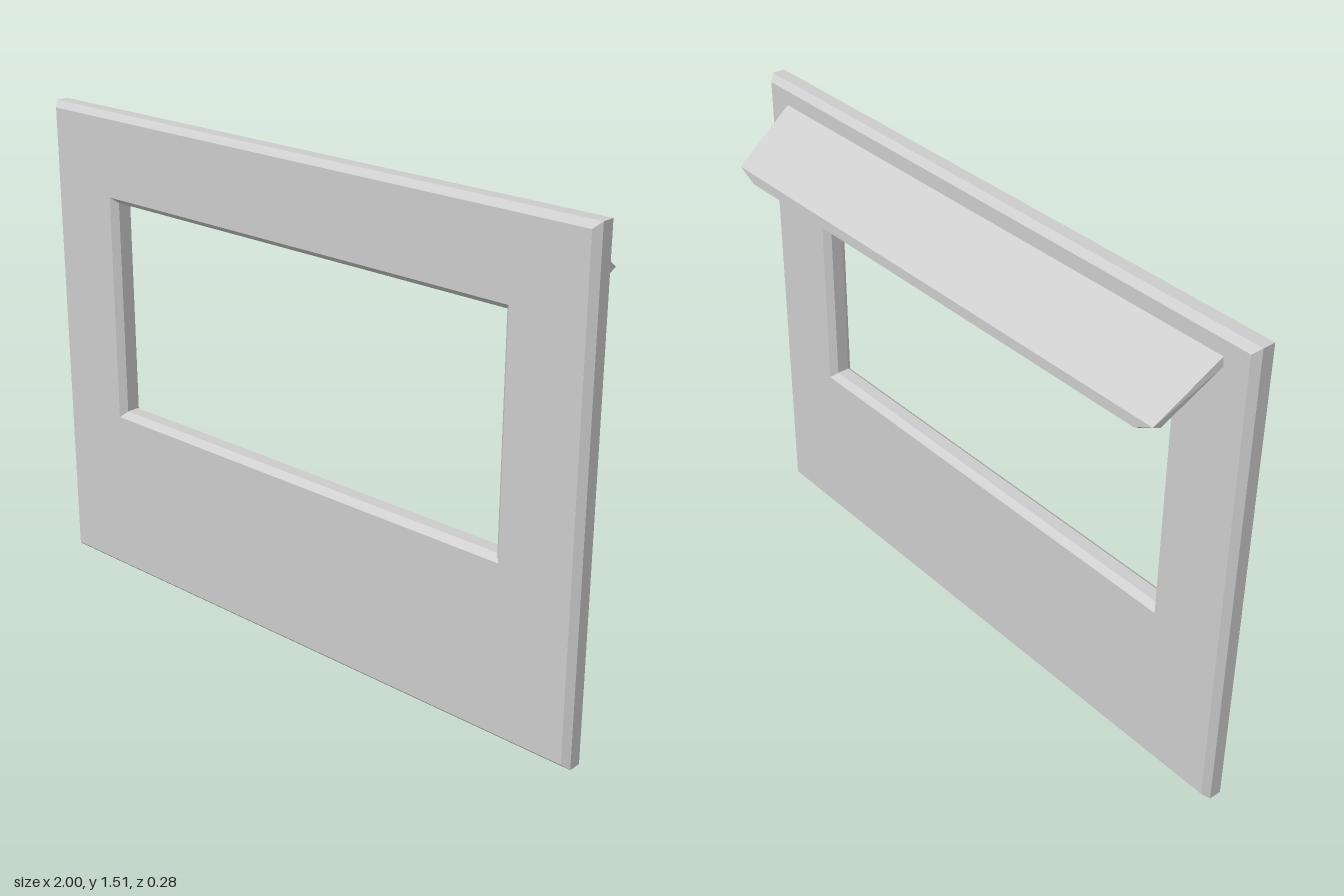
import * as THREE from 'three';
import { ConvexGeometry } from 'three/addons/geometries/ConvexGeometry.js';

const BEVEL = 0.018;

// Traces a rectangle into a Shape or Path
function rectangle(path, halfWidth, bottom, top) {
  path.moveTo(-halfWidth, bottom);
  path.lineTo(halfWidth, bottom);
  path.lineTo(halfWidth, top);
  path.lineTo(-halfWidth, top);
  path.closePath();
  return path;
}

export function createModel() {
  const group = new THREE.Group();
  group.name = 'wallWithAwning';
  const material = new THREE.MeshStandardMaterial({ color: 0xcccccc, flatShading: true });

  const add = (name, geometry) => {
    const mesh = new THREE.Mesh(geometry, material);
    mesh.name = name;
    group.add(mesh);
    return mesh;
  };

  // Upright slab with a window opening, all edges chamfered
  const outline = rectangle(new THREE.Shape(), 1 - BEVEL, BEVEL, 1.508 - BEVEL);
  outline.holes.push(rectangle(new THREE.Path(), 0.75, 0.535, 1.25));
  const panel = add('wallPanel', new THREE.ExtrudeGeometry(outline, {
    depth: 0.04, bevelEnabled: true, bevelSegments: 1, bevelSize: BEVEL, bevelThickness: 0.02,
  }));
  panel.position.z = 0.08;

  // Sloping awning behind the window: thin edge on top, undercut ends below
  const end = [
    [0.9, 1.444, 0.06], [0.902, 1.416, 0.06], [0.81, 1.296, 0.06],
    [0.875, 1.312, -0.138], [0.875, 1.3, -0.112],
    [0.81, 1.28, -0.138], [0.805, 1.262, -0.112],
  ];
  const corners = [1, -1].flatMap((side) =>
    end.map(([x, y, z]) => new THREE.Vector3(side * x, y, z)));
  add('awning', new ConvexGeometry(corners));

  return group;
}
